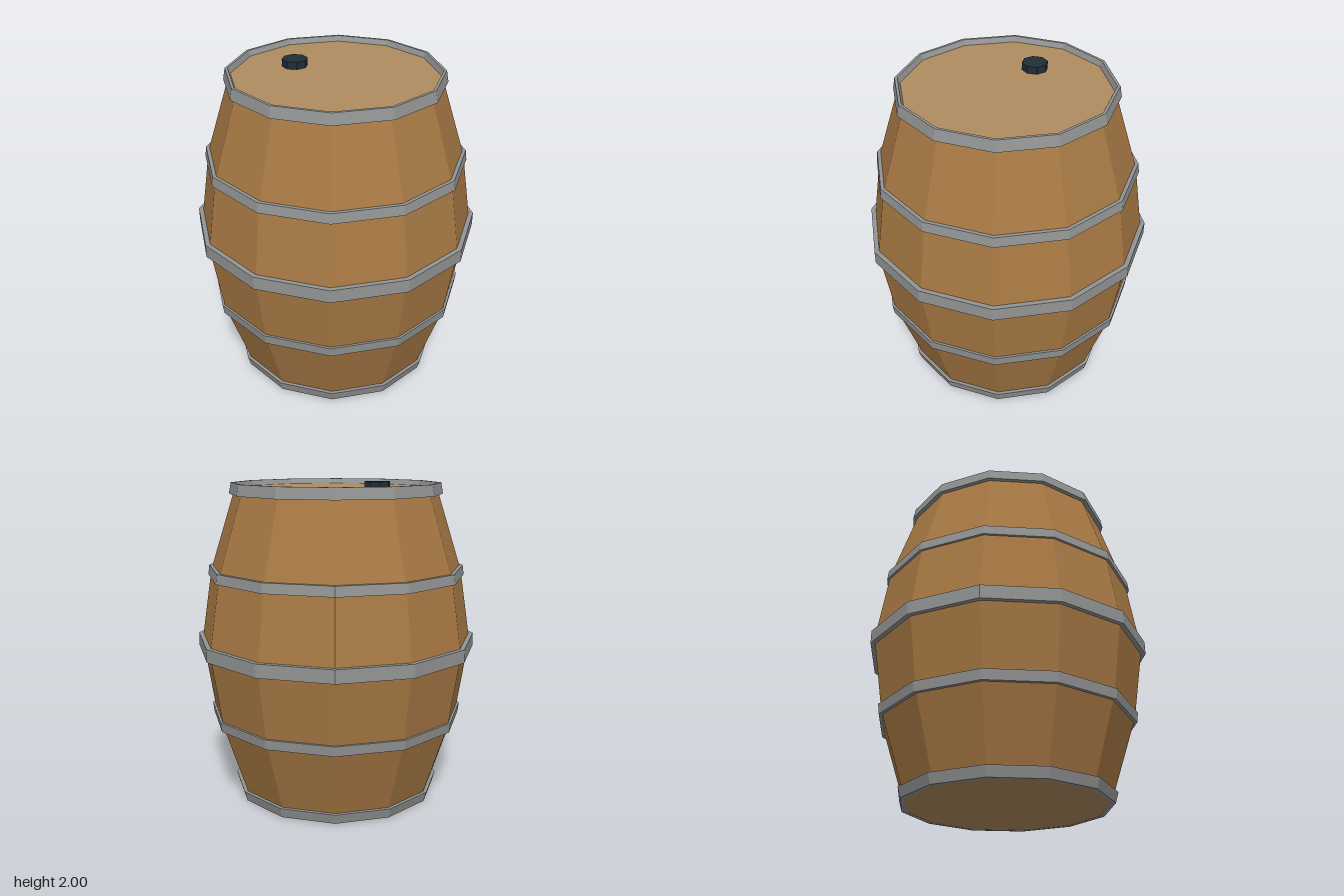
import * as THREE from 'three';

const SIDES = 12;
const TURN = -0.05; // slight turn of the twelve-sided section

const mat = (name, color) => {
  const m = new THREE.MeshStandardMaterial({ color, flatShading: true });
  m.name = name;
  return m;
};

export function createModel() {
  const wood = mat('stave wood', 0xa87944);
  const headWood = mat('head wood', 0xb08b60);
  const iron = mat('hoop iron', 0x939594);
  const dark = mat('dark plug', 0x202e39);
  const barrel = new THREE.Group();
  barrel.name = 'barrel';

  // Turns a profile of [radius, height] points, listed upwards on the outside
  const turned = (name, profile, material) => {
    const points = profile.map(([r, y]) => new THREE.Vector2(r, y));
    const mesh = new THREE.Mesh(
      new THREE.LatheGeometry(points, SIDES, TURN, Math.PI * 2), material);
    mesh.name = name;
    barrel.add(mesh);
  };

  // Bulging wall of staves
  turned('staves', [
    [0.628, 0.01], [0.795, 0.52], [0.866, 0.985], [0.795, 1.44], [0.632, 1.95],
  ], wood);

  // Flat heads: the upper one sits below the rim
  turned('topHead', [[0.625, 1.955], [0, 1.955]], headWood);
  turned('bottomHead', [[0, 0.001], [0.64, 0.001]], headWood);

  // Hoops: bottom height, top height, lower radius, upper radius, thickness
  const hoops = [
    ['bottomHoop', 0, 0.064, 0.65, 0.668, 0.03],
    ['lowerHoop', 0.491, 0.554, 0.807, 0.815, 0.04],
    ['middleHoop', 0.944, 1.027, 0.889, 0.889, 0.04],
    ['upperHoop', 1.411, 1.472, 0.815, 0.807, 0.04],
  ];
  for (const [name, y0, y1, r0, r1, t] of hoops) {
    turned(name, [[r0 - t, y0], [r0, y0], [r1, y1], [r1 - t, y1], [r0 - t, y0]], iron);
  }

  // Top hoop with an inner lip sloping down to the head
  turned('topHoop', [
    [0.635, 1.92], [0.668, 1.92], [0.655, 1.988], [0.638, 1.988], [0.622, 1.95],
  ], iron);

  // Bung plug, off centre on the upper head
  const plug = new THREE.Mesh(
    new THREE.CylinderGeometry(0.079, 0.079, 0.05, 8, 1, false, 0.17), dark);
  plug.name = 'plug';
  plug.position.set(-0.243, 1.975, -0.162);
  barrel.add(plug);

  return barrel;
}
